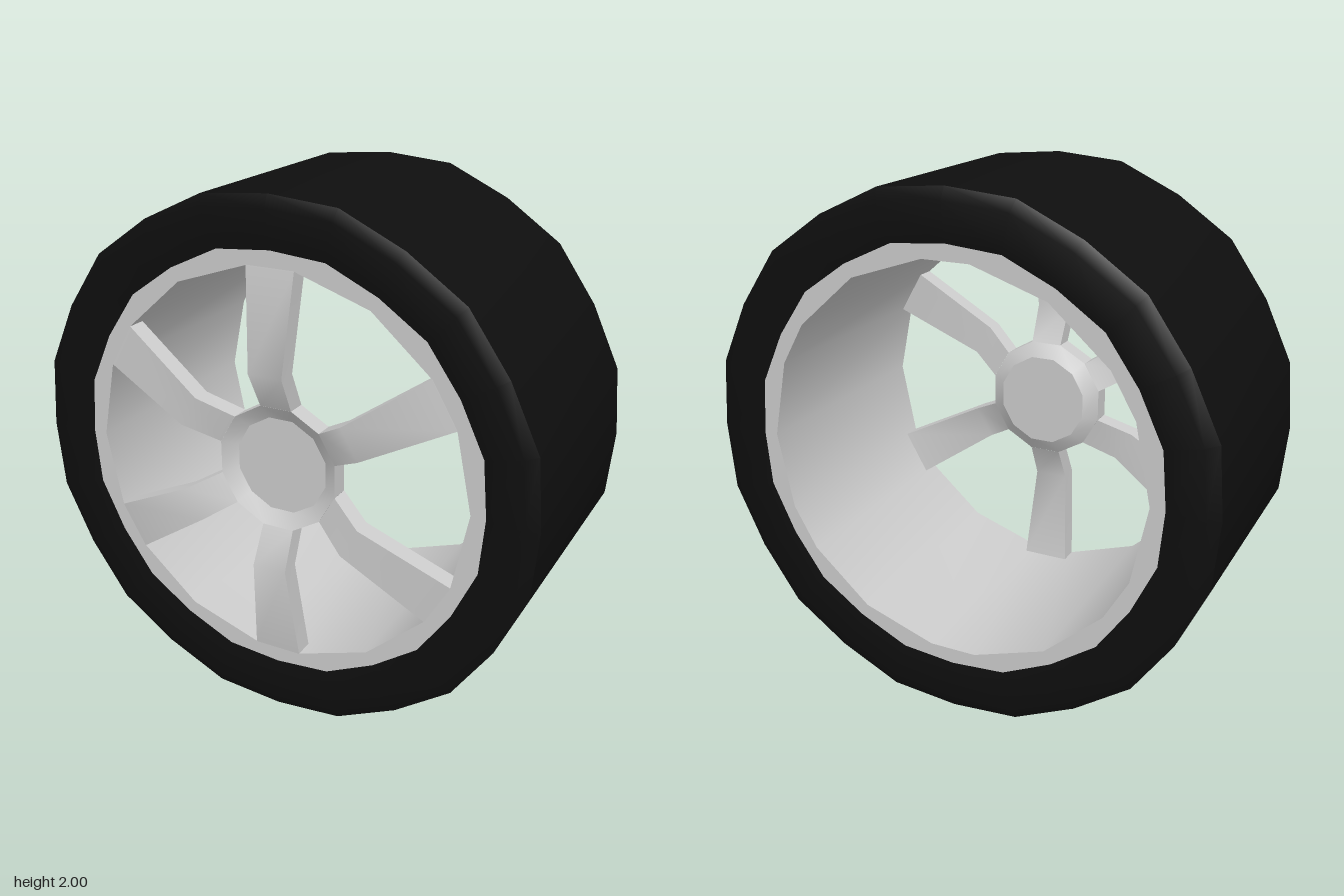
import * as THREE from 'three';
import { toCreasedNormals } from 'three/addons/utils/BufferGeometryUtils.js';

const grey = new THREE.MeshStandardMaterial({ color: 0xcccccc });
const black = new THREE.MeshStandardMaterial({ color: 0x0e0e0e });
const rad = THREE.MathUtils.degToRad;
const v2 = (x, y) => new THREE.Vector2(x, y);

function part(name, geometry, material, crease) {
  const mesh = new THREE.Mesh(toCreasedNormals(geometry, rad(crease)), material);
  mesh.name = name;
  return mesh;
}

// Every second corner of the 24-sided outline stands out slightly
const bulge = (i) => (i % 2 ? 1.012 : 1);

// Profile of [radius, z] points from back to front, turned about the z axis
function turned(profile, sides, start = 0) {
  return new THREE.LatheGeometry(profile.map(([r, z]) => v2(r, z)), sides, start);
}

function tyreGeometry() {
  const profile = [[0.81, -0.48], [0.955, -0.5], [1, -0.475], [1, 0.455], [0.955, 0.475], [0.81, 0.45]];
  const geo = turned(profile, 24);
  const pos = geo.attributes.position;
  for (let k = 0; k < pos.count; k++) {
    const s = bulge(Math.floor(k / profile.length));
    pos.setX(k, pos.getX(k) * s);
    pos.setZ(k, pos.getZ(k) * s);
  }
  return geo.rotateX(Math.PI / 2);
}

// Rim barrel: 24-sided outside, 18-sided inside with a corner at each spoke edge
function rimGeometry() {
  const outer = [], inner = [];
  for (let i = 0; i < 24; i++) {
    const a = rad(i * 15), r = 0.81 * bulge(i);
    outer.push(v2(r * Math.cos(a), r * Math.sin(a)));
  }
  for (let i = 0; i < 6; i++) {
    for (const d of [-23, 0, 23]) {
      const a = rad(i * 60 + d);
      inner.push(v2(0.755 * Math.cos(a), 0.755 * Math.sin(a)));
    }
  }
  const shape = new THREE.Shape(outer);
  shape.holes.push(new THREE.Path(inner));
  return new THREE.ExtrudeGeometry(shape, { depth: 0.93, bevelEnabled: false }).translate(0, 0, -0.48);
}

// Spoke along +x, lofted through [distance, half width, front z] sections
function spokeGeometry() {
  const sections = [[0.236, 0.063, 0.43], [0.377, 0.067, 0.5], [0.75, 0.094, 0.45]];
  const thick = 0.075, points = [], index = [];
  for (const [x, w, z] of sections) {
    points.push(x, -w, z, x, w, z, x, w, z - thick, x, -w, z - thick);
  }
  for (let s = 0; s < sections.length - 1; s++) {
    for (let k = 0; k < 4; k++) {
      const a = s * 4 + k, b = s * 4 + (k + 1) % 4;
      index.push(a, a + 4, b, b, a + 4, b + 4);
    }
  }
  const geo = new THREE.BufferGeometry();
  geo.setAttribute('position', new THREE.Float32BufferAttribute(points, 3));
  geo.setIndex(index);
  return geo;
}

export function createModel() {
  const wheel = new THREE.Group();
  wheel.name = 'wheel';

  wheel.add(part('tyre', tyreGeometry(), black, 40));
  wheel.add(part('rim', rimGeometry(), grey, 40));

  // Dished hub with a flat centre
  const hub = turned([[0, 0.32], [0.187, 0.32], [0.244, 0.355], [0.244, 0.43], [0.187, 0.395], [0, 0.395]], 12, rad(15));
  wheel.add(part('hub', hub.rotateX(Math.PI / 2), grey, 25));

  // Six spokes
  for (let i = 0; i < 6; i++) {
    const spoke = part('spoke', spokeGeometry(), grey, 40);
    spoke.rotation.z = rad(30 + i * 60);
    wheel.add(spoke);
  }

  wheel.position.y = 1;
  const model = new THREE.Group();
  model.add(wheel);
  return model;
}
